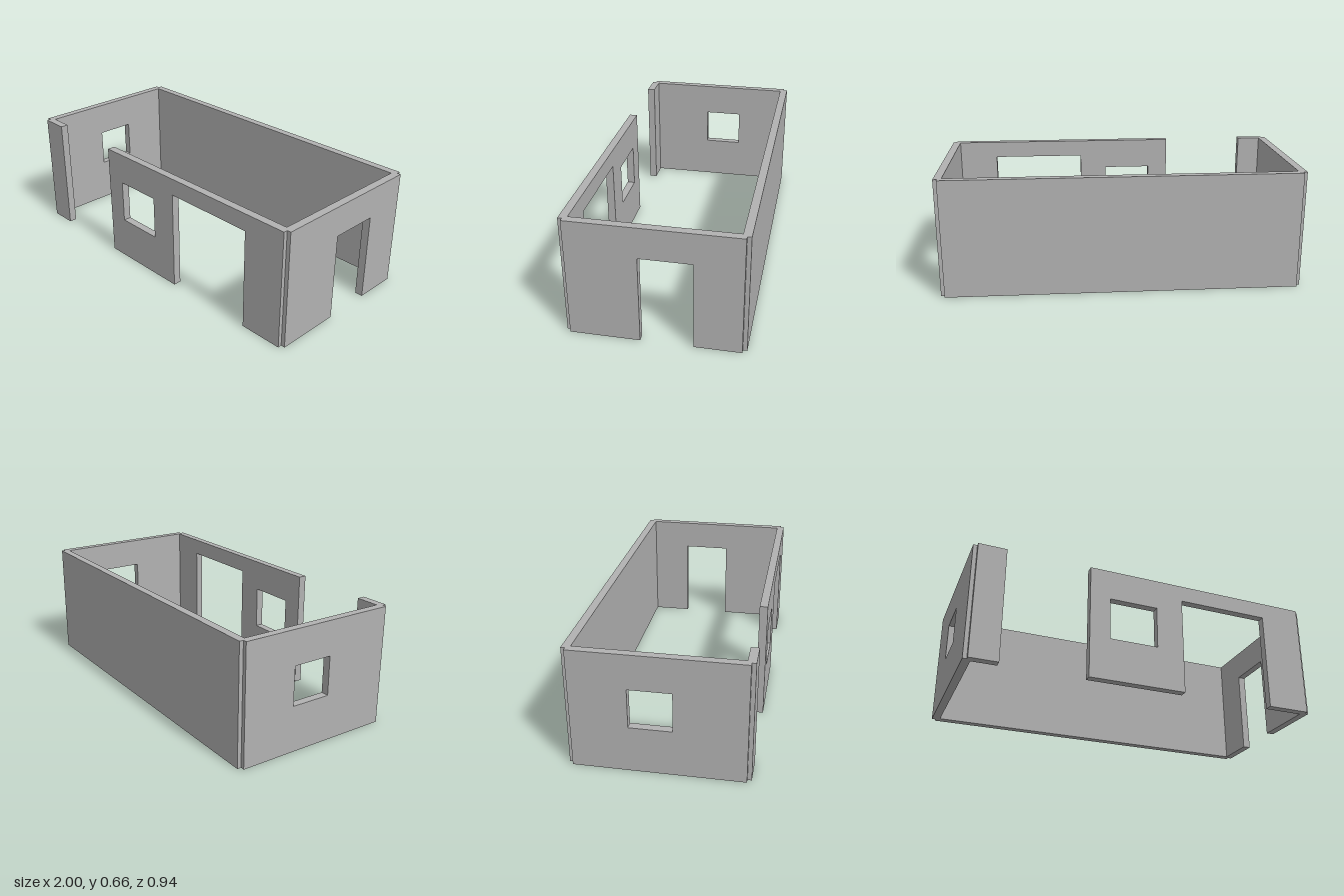
import * as THREE from 'three';

const HEIGHT = 0.66, THICK = 0.044;
const X = 0.978, Z = 0.446; // wall centre lines

// Wall outline along u; doors [u0, u1, top] notch the base, windows [u0, u1, bottom, top] are holes
function wallGeometry(u0, u1, doors = [], windows = []) {
  const shape = new THREE.Shape();
  shape.moveTo(u0, 0);
  for (const [a, b, top] of doors) {
    shape.lineTo(a, 0);
    shape.lineTo(a, top);
    shape.lineTo(b, top);
    shape.lineTo(b, 0);
  }
  shape.lineTo(u1, 0);
  shape.lineTo(u1, HEIGHT);
  shape.lineTo(u0, HEIGHT);
  shape.closePath();
  for (const [a, b, low, top] of windows) {
    const hole = new THREE.Path();
    hole.moveTo(a, low);
    hole.lineTo(a, top);
    hole.lineTo(b, top);
    hole.lineTo(b, low);
    hole.closePath();
    shape.holes.push(hole);
  }
  const geometry = new THREE.ExtrudeGeometry(shape, { depth: THICK, bevelEnabled: false });
  return geometry.translate(0, 0, -THICK / 2);
}

export function createModel() {
  const model = new THREE.Group();
  model.name = 'roomWalls';
  const plaster = new THREE.MeshStandardMaterial({ color: 0xb2b2b2 });
  plaster.name = 'grey plaster';

  const add = (name, geometry, x, z) => {
    const mesh = new THREE.Mesh(geometry, plaster);
    mesh.name = name;
    mesh.position.set(x, 0, z);
    model.add(mesh);
  };

  // Long walls, ending on the side walls' centre lines to leave notched corners
  add('backWall', wallGeometry(-X, X), 0, -Z);
  add('frontWall', wallGeometry(-0.352, X, [[0.2, 0.733, 0.565]], [[-0.235, 0.042, 0.243, 0.485]]), 0, Z);
  add('frontCornerWall', wallGeometry(-X, -0.822), 0, Z);

  // Side walls, turned so that u runs along z
  const side = (doors, windows) => wallGeometry(-Z, Z, doors, windows).rotateY(-Math.PI / 2);
  add('leftWallWithDoor', side([[-0.2, 0.076, 0.49]], []), X, 0);
  add('rightWallWithWindow', side([], [[-0.148, 0.076, 0.255, 0.47]]), -X, 0);

  return model;
}
